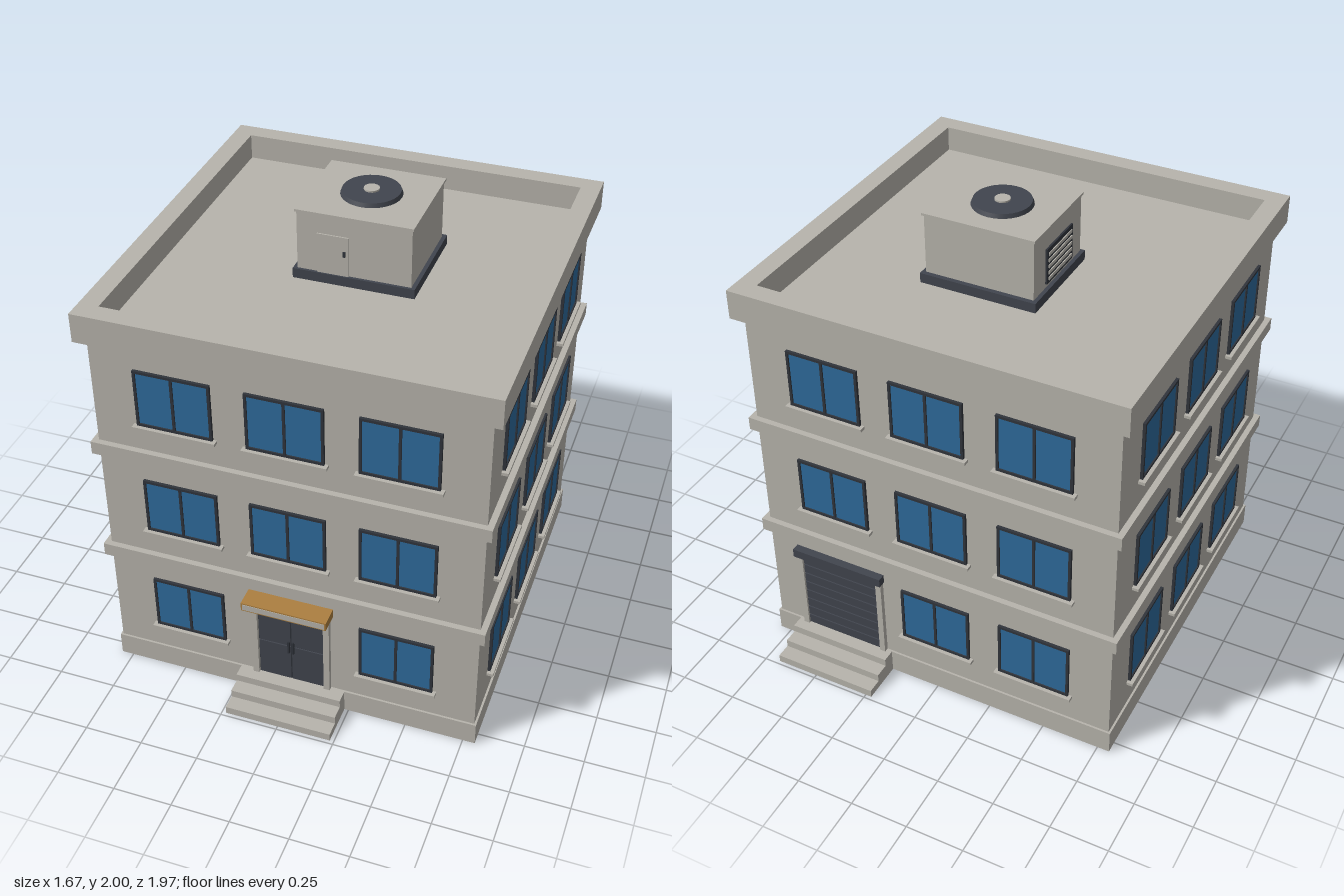
import * as THREE from 'three';

const mat = (name, color) => Object.assign(new THREE.MeshStandardMaterial({ color }), { name });

export function createModel() {
  const wall = mat('concrete', 0xb7b4ac);
  const glass = mat('blue glass', 0x2e6b9c);
  const dark = mat('dark metal', 0x41454e);
  const frameMat = mat('window frame', 0x30343b);
  const wood = mat('awning wood', 0xac7f40);

  const model = new THREE.Group();
  model.name = 'officeBuilding';

  const add = (parent, name, geo, material) => {
    const mesh = new THREE.Mesh(geo, material);
    mesh.name = name;
    parent.add(mesh);
    return mesh;
  };
  // Box given by its minimum and maximum on each axis
  const box = (parent, name, material, x0, x1, y0, y1, z0, z1) => {
    const mesh = add(parent, name, new THREE.BoxGeometry(x1 - x0, y1 - y0, z1 - z0), material);
    mesh.position.set((x0 + x1) / 2, (y0 + y1) / 2, (z0 + z1) / 2);
    return mesh;
  };
  // Rectangular outline, for frames and their holes
  const rect = (Type, x0, x1, y0, y1) => {
    const p = new Type();
    p.moveTo(x0, y0);
    p.lineTo(x1, y0);
    p.lineTo(x1, y1);
    p.lineTo(x0, y1);
    p.closePath();
    return p;
  };

  // Main mass, plinth and floor bands
  const W = 0.793;
  box(model, 'plinth', wall, -0.802, 0.802, 0, 0.105, -0.802, 0.802);
  box(model, 'walls', wall, -W, W, 0.105, 1.67, -W, W);
  for (const y of [0.583, 1.117]) box(model, 'floorBand', wall, -0.818, 0.818, y, y + 0.058, -0.818, 0.818);

  // Parapet ring around the flat roof
  const ring = rect(THREE.Shape, -0.833, 0.833, -0.833, 0.833);
  ring.holes.push(rect(THREE.Path, -0.75, 0.75, -0.75, 0.75));
  const parapet = add(model, 'parapet', new THREE.ExtrudeGeometry(ring, { depth: 0.125, bevelEnabled: false }), wall);
  parapet.rotation.x = -Math.PI / 2;
  parapet.position.y = 1.655;

  // Double window with frame, two panes and a sill
  const w = 0.158, h = 0.257, t = 0.011;
  const outline = rect(THREE.Shape, -w, w, 0, h);
  outline.holes.push(rect(THREE.Path, -w + t, -t / 2, t, h - t), rect(THREE.Path, t / 2, w - t, t, h - t));
  const frameGeo = new THREE.ExtrudeGeometry(outline, { depth: 0.012, bevelEnabled: false });
  const addWindow = (parent, x, y) => {
    const win = new THREE.Group();
    win.name = 'window';
    win.position.set(x, y, W);
    add(win, 'windowFrame', frameGeo, frameMat);
    box(win, 'windowGlass', glass, -w + t / 2, w - t / 2, t / 2, h - t / 2, -0.002, 0.006);
    box(win, 'windowSill', wall, -0.173, 0.173, -0.013, 0, 0, 0.028);
    parent.add(win);
  };

  // Four facades; sides run front, left, back, right
  const facades = ['front', 'left', 'back', 'right'].map((name, side) => {
    const facade = new THREE.Group();
    facade.name = name + 'Facade';
    facade.rotation.y = side * Math.PI / 2;
    model.add(facade);
    [0.235, 0.765, 1.298].forEach((y, floor) => {
      for (const x of [-0.453, 0, 0.453]) {
        const isDoor = floor === 0 && ((side === 0 && x === 0) || (side === 2 && x < 0));
        if (!isDoor) addWindow(facade, x, y);
      }
    });
    return facade;
  });

  // Three steps and a portal surround, shared by both entrances
  const addEntrance = (parent, name, x, half, jamb, top) => {
    const g = new THREE.Group();
    g.name = name;
    g.position.x = x;
    parent.add(g);
    [0.984, 0.92, 0.858].forEach((z, i) =>
      box(g, 'step', wall, -0.232, 0.232, i * 0.035, (i + 1) * 0.035, 0.79, z));
    for (const s of [-1, 1]) {
      const c = s * (half + jamb / 2);
      box(g, 'doorJamb', wall, c - jamb / 2, c + jamb / 2, 0.105, top, W - 0.002, 0.814);
    }
    return g;
  };

  // Front entrance: double door, handles and awning
  const front = addEntrance(facades[0], 'frontEntrance', 0, 0.145, 0.026, 0.515);
  box(front, 'doorLintel', wall, -0.145, 0.145, 0.49, 0.515, W - 0.002, 0.814);
  box(front, 'doorBack', frameMat, -0.145, 0.145, 0.105, 0.49, W - 0.002, 0.798);
  for (const s of [-1, 1]) {
    for (const [y0, y1] of [[0.108, 0.292], [0.298, 0.487]]) {
      box(front, 'doorPanel', dark, s * 0.0725 - 0.0695, s * 0.0725 + 0.0695, y0, y1, 0.796, 0.803);
    }
    box(front, 'doorHandle', frameMat, s * 0.01 - 0.004, s * 0.01 + 0.004, 0.26, 0.325, 0.8, 0.812);
  }
  box(front, 'awning', wood, -0.183, 0.183, 0.517, 0.556, W, 0.88);
  box(front, 'awningPanel', wall, -0.176, 0.176, 0.523, 0.55, 0.876, 0.882);

  // Rear loading door: slatted shutter under a roller box
  const rear = addEntrance(facades[2], 'rearEntrance', -0.455, 0.18, 0.026, 0.5);
  box(rear, 'shutterBack', frameMat, -0.18, 0.18, 0.105, 0.5, W - 0.002, 0.797);
  const slats = 8, pitch = 0.39 / slats;
  for (let i = 0; i < slats; i++) {
    const y = 0.105 + i * pitch;
    box(rear, 'shutterSlat', dark, -0.18, 0.18, y + 0.003, y + pitch - 0.003, 0.795, 0.805);
  }
  box(rear, 'rollerBox', dark, -0.212, 0.212, 0.495, 0.535, W, 0.828);

  // Rooftop plant room
  const room = new THREE.Group();
  room.name = 'plantRoom';
  model.add(room);
  box(room, 'roomSkirt', dark, -0.207, 0.299, 1.665, 1.712, -0.298, 0.152);
  box(room, 'roomWalls', wall, -0.19, 0.282, 1.67, 1.968, -0.278, 0.14);
  box(room, 'roomCap', wall, -0.197, 0.289, 1.966, 1.976, -0.285, 0.147);
  box(room, 'roomDoor', wall, -0.106, 0.026, 1.712, 1.885, 0.138, 0.146);
  box(room, 'roomDoorHandle', frameMat, 0.003, 0.013, 1.8, 1.823, 0.145, 0.151);

  // Louvred vent on the right wall of the plant room
  box(room, 'ventBack', frameMat, -0.198, -0.188, 1.73, 1.885, -0.178, 0.05);
  for (let i = 0; i < 5; i++) {
    const y = 1.744 + i * 0.027;
    box(room, 'ventSlat', wall, -0.202, -0.196, y, y + 0.014, -0.166, 0.038);
  }

  // Roof fan with a pale hub
  const fan = new THREE.Group();
  fan.name = 'roofFan';
  fan.position.set(0.046, 0, -0.075);
  room.add(fan);
  add(fan, 'fanDisc', new THREE.CylinderGeometry(0.118, 0.125, 0.018, 32), dark).position.y = 1.984;
  add(fan, 'fanHub', new THREE.CylinderGeometry(0.032, 0.032, 0.01, 16), wall).position.y = 1.995;

  return model;
}
